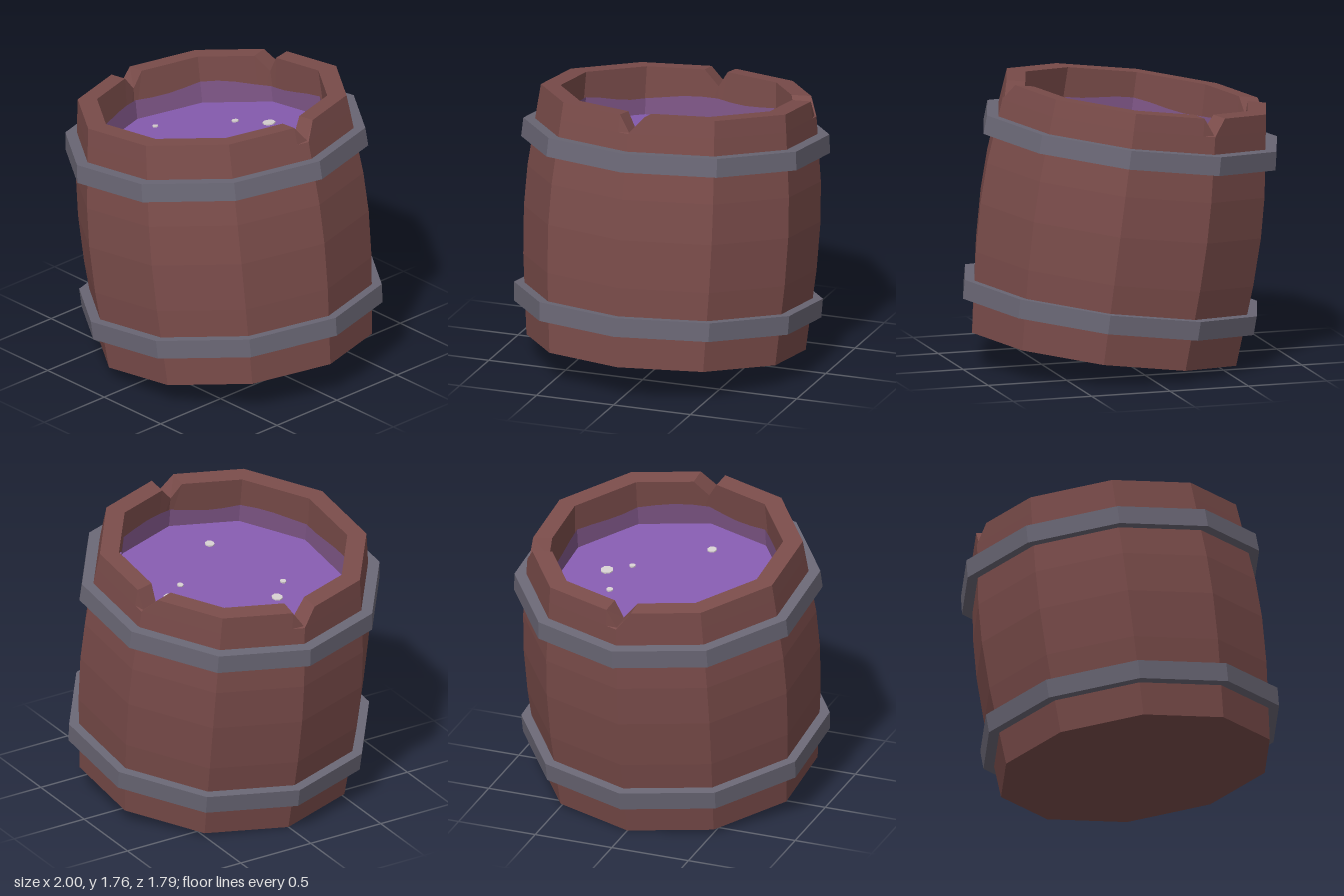
import * as THREE from 'three';

const SIDES = 10;
const NOTCHED = [0, 3, 5]; // corners with a V cut in the rim
const NOTCH_WIDTH = 0.09, NOTCH_DEPTH = 0.1;

const mat = (name, color, extra = {}) => {
  const m = new THREE.MeshStandardMaterial({ color, flatShading: true, ...extra });
  m.name = name;
  return m;
};

// point on a ten-sided ring: corner k, then `dist` along the side towards corner k + 1
function ringPoint(k, dist, r, h) {
  const corner = (i) => {
    const a = (i * Math.PI * 2) / SIDES;
    return new THREE.Vector3(r * Math.cos(a), h, -r * Math.sin(a));
  };
  const side = 2 * r * Math.sin(Math.PI / SIDES);
  return corner(k).lerp(corner(k + 1), side > 0 ? dist / side : 0);
}

// skin between consecutive cross-sections around the ring
function skin(sections) {
  const pos = [], idx = [];
  const n = sections[0].length;
  sections.forEach((s) => s.forEach((p) => pos.push(p.x, p.y, p.z)));
  sections.forEach((_, i) => {
    const a = i * n, b = ((i + 1) % sections.length) * n;
    for (let j = 0; j < n - 1; j++) {
      idx.push(a + j, b + j, b + j + 1, a + j, b + j + 1, a + j + 1);
    }
  });
  const g = new THREE.BufferGeometry();
  g.setAttribute('position', new THREE.Float32BufferAttribute(pos, 3));
  g.setIndex(idx);
  const flat = g.toNonIndexed();
  flat.computeVertexNormals();
  return flat;
}

function barrelGeometry() {
  const profile = [[0, 0], [0.85, 0], [0.893, 0.5], [0.903, 0.8], [0.893, 1.05],
    [0.848, 1.45], [0.835, 1.557], [0.715, 1.557], [0.73, 1.22]];
  const section = (k, dist, cut) => profile.map(([r, h]) =>
    ringPoint(k, dist, r, h > 1.5 ? h - cut : h));
  const sections = [];
  for (let k = 0; k < SIDES; k++) {
    const here = NOTCHED.includes(k), next = NOTCHED.includes((k + 1) % SIDES);
    sections.push(section(k, 0, here ? NOTCH_DEPTH : 0));
    if (here) sections.push(section(k, NOTCH_WIDTH, 0));
    if (next) {
      // approach the notch from the other side of the same edge
      sections.push(profile.map(([r, h]) => {
        const side = 2 * r * Math.sin(Math.PI / SIDES);
        return ringPoint(k, side - NOTCH_WIDTH * Math.min(1, r), r, h);
      }).map((p, j) => (profile[j][0] === 0 ? new THREE.Vector3(0, 0, 0) : p)));
    }
  }
  return skin(sections);
}

function hoopGeometry(h0, h1, r0, r1) {
  const profile = [[0.84, h0], [r0, h0], [r1, h1], [0.84, h1]];
  return skin(Array.from({ length: SIDES }, (_, k) =>
    profile.map(([r, h]) => ringPoint(k, 0, r, h))));
}

// wavy stain on the inner wall just above the liquid
function stainGeometry(level) {
  const r = 0.708, steps = 4, side = 2 * r * Math.sin(Math.PI / SIDES);
  const sections = [];
  for (let i = 0; i < SIDES * steps; i++) {
    const k = Math.floor(i / steps), d = ((i % steps) / steps) * side;
    const top = level + 0.12 + 0.015 * Math.sin(i * 0.95) + 0.01 * Math.sin(i * 0.47);
    sections.push([ringPoint(k, d, r, top), ringPoint(k, d, r, level - 0.02)]);
  }
  return skin(sections);
}

export function createModel() {
  const wood = mat('wood', 0x7a4c4a);
  const iron = mat('iron', 0x6a6775);
  const purple = mat('liquid purple', 0x865cb0);
  const stain = mat('stain purple', 0x7d5585, { side: THREE.DoubleSide });
  const cream = mat('bubble cream', 0xd6cfd0);

  const model = new THREE.Group();
  model.name = 'barrel';
  const tilted = new THREE.Group();
  tilted.name = 'tiltedBarrel';
  tilted.position.set(0.1, 0.112, 0);
  tilted.rotation.z = 0.132;
  model.add(tilted);

  const add = (name, geometry, material) => {
    const m = new THREE.Mesh(geometry, material);
    m.name = name;
    tilted.add(m);
    return m;
  };

  add('barrelBody', barrelGeometry(), wood);
  add('lowerHoop', hoopGeometry(0.205, 0.322, 0.935, 0.94), iron);
  add('upperHoop', hoopGeometry(1.228, 1.343, 0.94, 0.932), iron);

  // liquid surface
  const level = 1.26;
  const surface = add('liquid', new THREE.CircleGeometry(0.725, SIDES).rotateX(-Math.PI / 2), purple);
  surface.position.y = level;
  add('liquidStain', stainGeometry(level), stain);

  // flat bubbles: x, z, radius
  [[0.03, -0.41, 0.04], [0.12, -0.28, 0.02], [-0.17, -0.315, 0.022], [-0.52, 0.025, 0.018],
    [-0.25, 0.185, 0.035], [-0.115, 0.31, 0.02], [0.43, 0.12, 0.03]].forEach(([x, z, r]) => {
    add('bubble', new THREE.CylinderGeometry(r, r, 0.008, 8), cream).position.set(x, level + 0.004, z);
  });

  return model;
}
